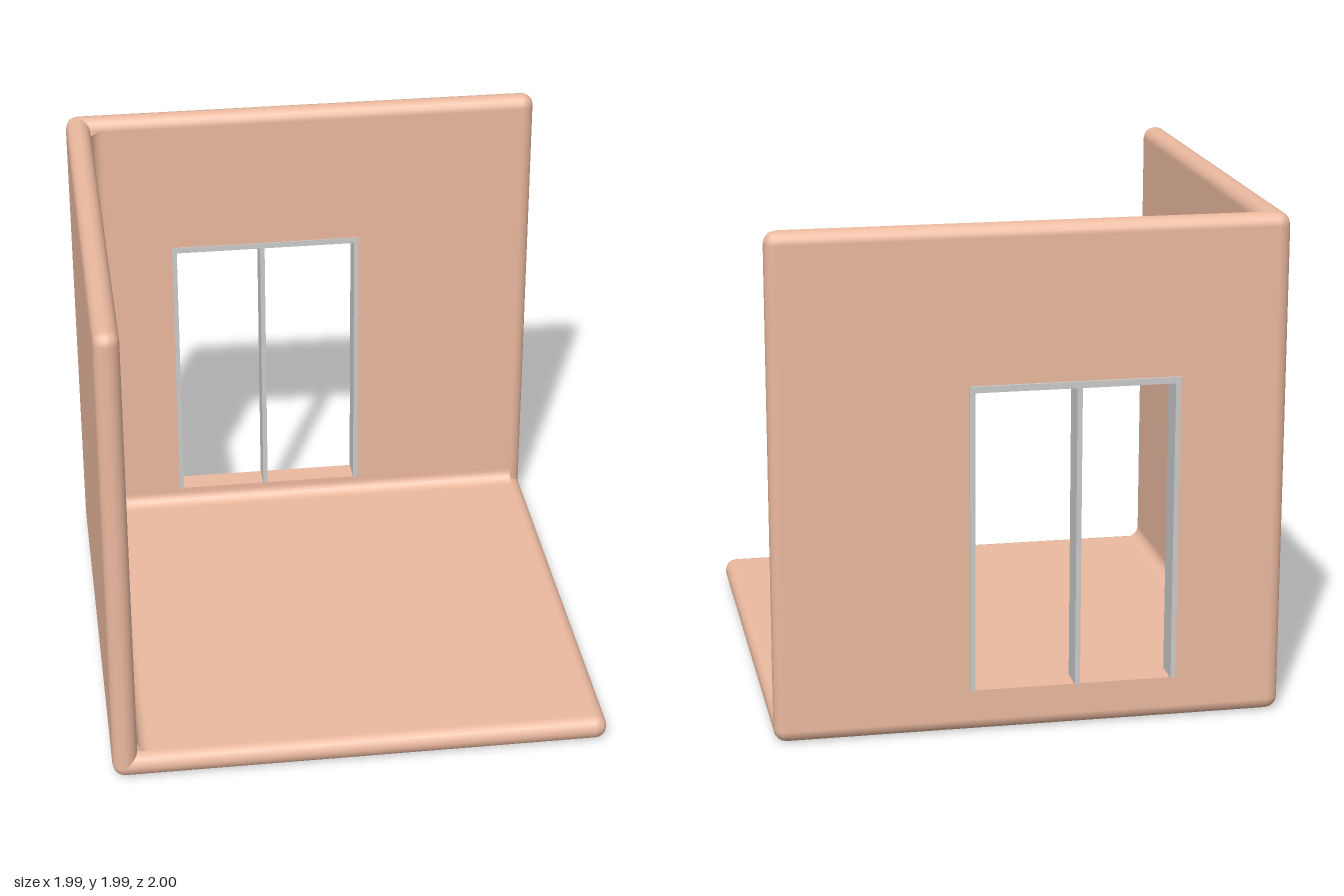
import * as THREE from 'three';
import { RoundedBoxGeometry } from 'three/addons/geometries/RoundedBoxGeometry.js';

const LO = -0.995, HI = 0.995;      // x extent
const BACK = -0.99, FRONT = 1.0;    // z extent
const TOP = 1.99, T = 0.1, R = 0.05;

export function createModel() {
  const room = new THREE.Group();
  room.name = 'roomCorner';
  const plaster = new THREE.MeshStandardMaterial({ color: 0xebb99f });
  const grey = new THREE.MeshStandardMaterial({ color: 0xcccccc });

  const add = (parent, name, geometry, material) => {
    const mesh = new THREE.Mesh(geometry, material);
    mesh.name = name;
    parent.add(mesh);
    return mesh;
  };
  // boxes given by their minimum and maximum corners
  const span = (make) => (parent, name, a, b, material) =>
    add(parent, name, make(b[0] - a[0], b[1] - a[1], b[2] - a[2]), material)
      .position.set((a[0] + b[0]) / 2, (a[1] + b[1]) / 2, (a[2] + b[2]) / 2);
  const rounded = span((w, h, d) => new RoundedBoxGeometry(w, h, d, 2, R));
  const box = span((w, h, d) => new THREE.BoxGeometry(w, h, d));

  // Floor and side wall: slabs with half-round edges
  rounded(room, 'floor', [LO, 0, BACK], [HI, T, FRONT], plaster);
  rounded(room, 'sideWall', [LO, 0, BACK], [LO + T, TOP, FRONT], plaster);

  // Back wall: a slab with the window opening, inside a rounded rim
  const backWall = new THREE.Group();
  backWall.name = 'backWall';
  room.add(backWall);
  const win = { x0: -0.57, x1: 0.24, y0: 0.17, y1: 1.38 };
  const rect = (P, x0, y0, x1, y1) => {
    const p = new P();
    p.moveTo(x0, y0).lineTo(x1, y0).lineTo(x1, y1).lineTo(x0, y1).closePath();
    return p;
  };
  const face = rect(THREE.Shape, LO + R, R, HI - R, TOP - R);
  face.holes.push(rect(THREE.Path, win.x0, win.y0, win.x1, win.y1));
  add(backWall, 'backWallPanel',
    new THREE.ExtrudeGeometry(face, { depth: T, bevelEnabled: false }), plaster).position.z = BACK;
  const zf = BACK + T;
  rounded(backWall, 'rimBottom', [LO, 0, BACK], [HI, T, zf], plaster);
  rounded(backWall, 'rimTop', [LO, TOP - T, BACK], [HI, TOP, zf], plaster);
  rounded(backWall, 'rimRight', [LO, 0, BACK], [LO + T, TOP, zf], plaster);
  rounded(backWall, 'rimLeft', [HI - T, 0, BACK], [HI, TOP, zf], plaster);

  // Concave coves along the three inner corners
  // u and v point away from the two surfaces, w runs along the corner
  const cove = (name, length, u, v, w) => {
    const s = new THREE.Shape();
    s.moveTo(-0.01, -0.01).lineTo(R, -0.01).lineTo(R, 0);
    s.absarc(R, R, R, -Math.PI / 2, -Math.PI, true);
    s.lineTo(-0.01, R).closePath();
    const g = new THREE.ExtrudeGeometry(s, { depth: length, bevelEnabled: false, curveSegments: 4 });
    const m = new THREE.Matrix4().makeBasis(
      new THREE.Vector3(...u), new THREE.Vector3(...v), new THREE.Vector3(...w));
    m.setPosition(LO + T, T, zf);
    add(room, name, g.applyMatrix4(m), plaster);
  };
  const X = [1, 0, 0], Y = [0, 1, 0], Z = [0, 0, 1];
  cove('wallCove', TOP - R - T, Z, X, Y);
  cove('backFloorCove', HI - R - (LO + T), Y, Z, X);
  cove('sideFloorCove', FRONT - R - zf, X, Y, Z);

  // Window frame: two jambs, a head and a central mullion
  const frame = new THREE.Group();
  frame.name = 'windowFrame';
  room.add(frame);
  const z0 = -1.0, z1 = zf + 0.004, mid = -0.18;
  const post = (name, a, b) => box(frame, name, [a, win.y0, z0], [b, win.y1 - 0.025, z1], grey);
  post('rightJamb', win.x0, win.x0 + 0.02);
  post('leftJamb', win.x1 - 0.02, win.x1);
  post('mullion', mid - 0.01, mid + 0.01);
  box(frame, 'head', [win.x0, win.y1 - 0.025, z0], [win.x1, win.y1, z1], grey);

  return room;
}
